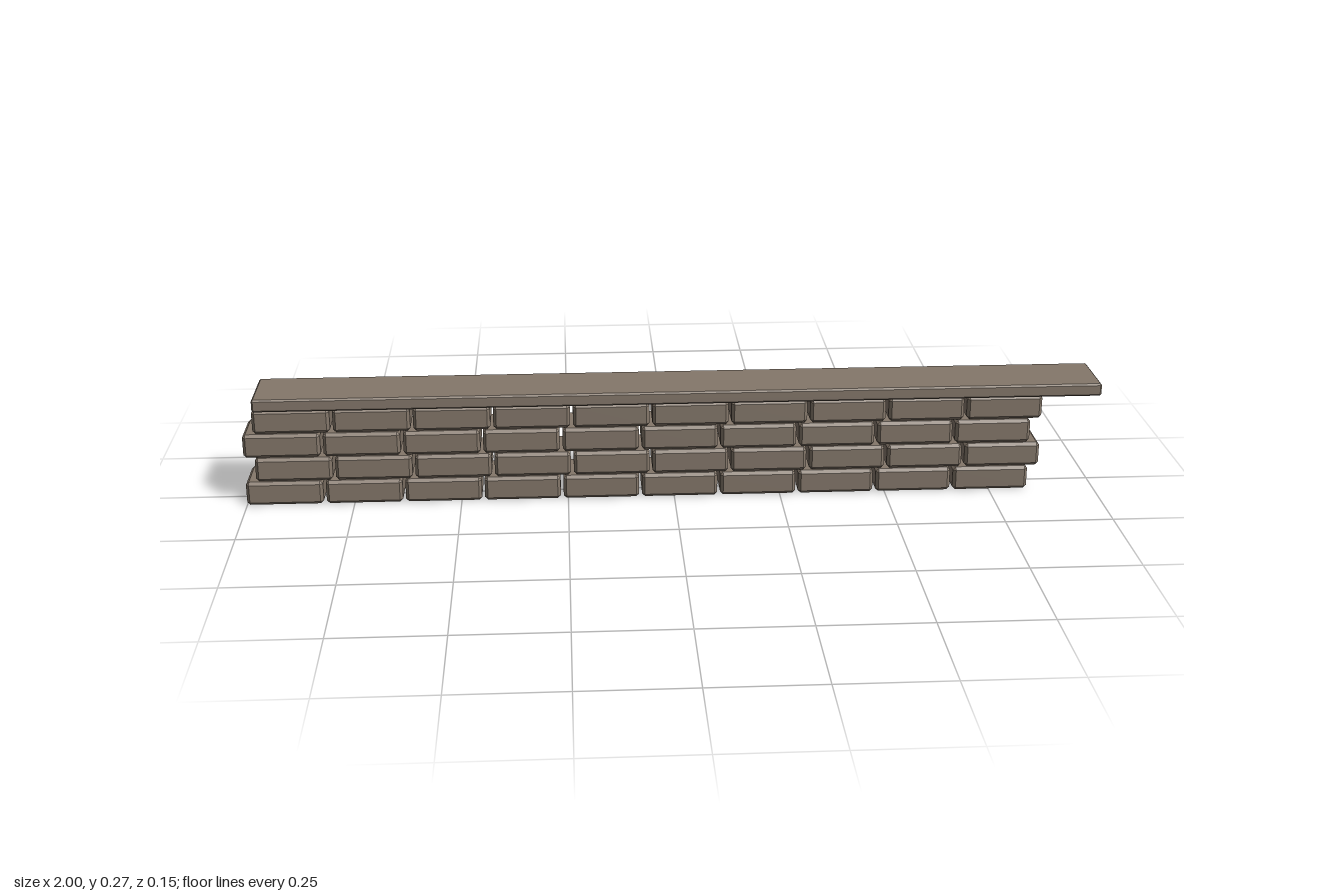
import * as THREE from 'three';
import { ConvexGeometry } from 'three/addons/geometries/ConvexGeometry.js';

// Box with every edge cut by a flat chamfer c
function chamferBox(w, h, d, c) {
  const points = [];
  for (const x of [-1, 1]) for (const y of [-1, 1]) for (const z of [-1, 1]) {
    for (let face = 0; face < 3; face++) {
      const inset = [c, c, c];
      inset[face] = 0;
      points.push(new THREE.Vector3(
        x * (w / 2 - inset[0]), y * (h / 2 - inset[1]), z * (d / 2 - inset[2])));
    }
  }
  return new ConvexGeometry(points);
}

export function createModel() {
  const wall = new THREE.Group();
  wall.name = 'lowBrickWall';
  const stone = new THREE.MeshStandardMaterial({ color: 0x84776a });
  stone.name = 'warm grey stone';

  // Four courses of ten bricks, alternate courses shifted sideways
  const width = 0.178, height = 0.057, pitchX = 0.1848, pitchY = 0.0593;
  const brick = chamferBox(width, height, 0.117, 0.007);
  for (let row = 0; row < 4; row++) {
    const course = new THREE.Group();
    course.name = `course${row + 1}`;
    course.position.set(row % 2 ? -0.975 : -1, row * pitchY + height / 2, 0);
    for (let i = 0; i < 10; i++) {
      const mesh = new THREE.Mesh(brick, stone);
      mesh.name = 'brick';
      mesh.position.x = width / 2 + i * pitchX;
      course.add(mesh);
    }
    wall.add(course);
  }

  // Long coping slab, overhanging one end
  const coping = new THREE.Mesh(chamferBox(1.97, 0.03, 0.152, 0.004), stone);
  coping.name = 'copingSlab';
  coping.position.set(0.015, 0.253, 0);
  wall.add(coping);

  return wall;
}
